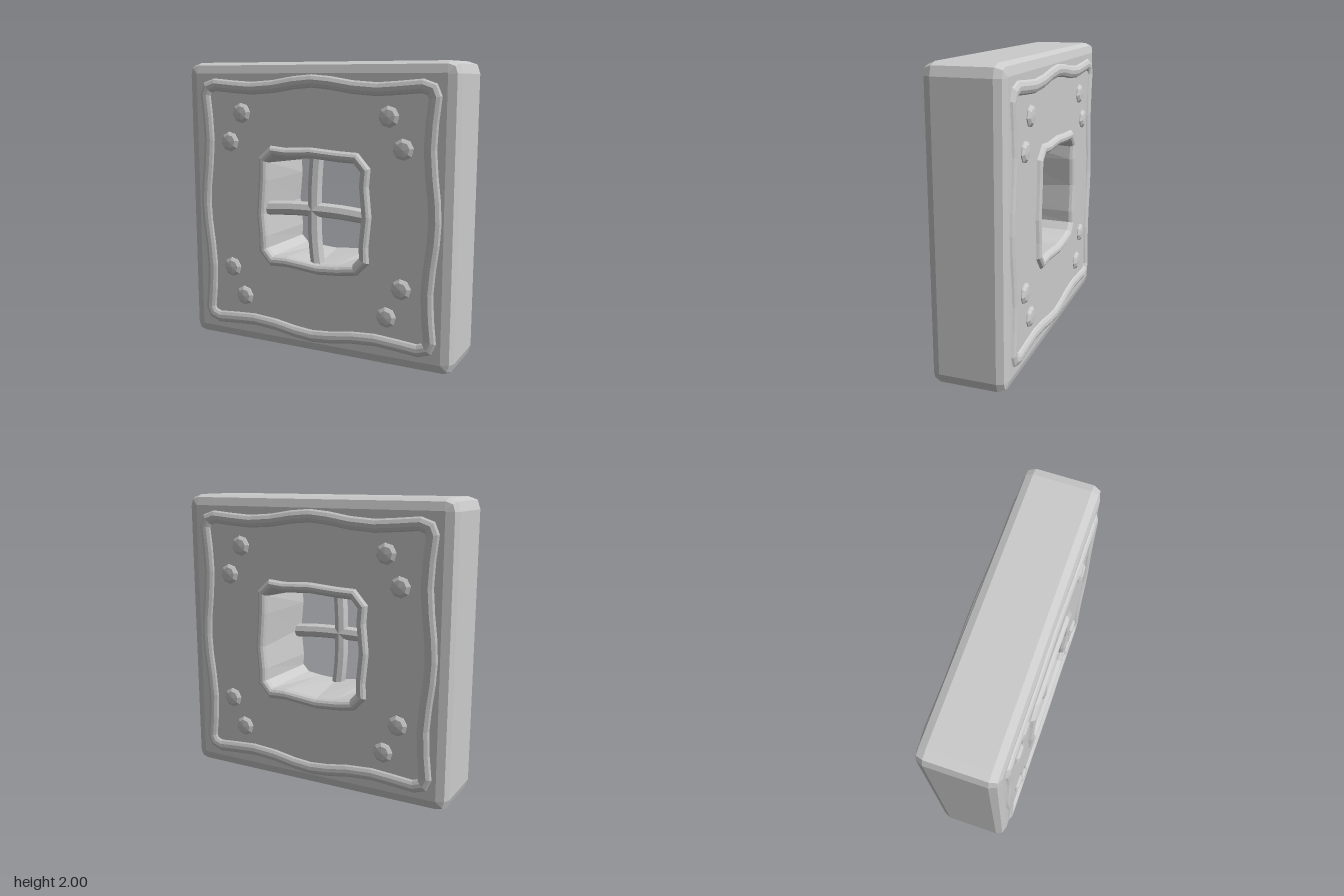
import * as THREE from 'three';

const material = new THREE.MeshStandardMaterial({ color: 0xcccccc, flatShading: true });

function add(parent, name, geometry) {
  const flat = geometry.index ? geometry.toNonIndexed() : geometry;
  flat.computeVertexNormals();
  const mesh = new THREE.Mesh(flat, material);
  mesh.name = name;
  parent.add(mesh);
  return mesh;
}

// Skin over closed rings of equal point count, given as { pts: [[x, y]...], z }
function loft(rings) {
  const n = rings[0].pts.length, pos = [], idx = [];
  for (const { pts, z } of rings) for (const [x, y] of pts) pos.push(x, y, z);
  for (let i = 0; i < rings.length - 1; i++) {
    for (let j = 0; j < n; j++) {
      const k = (j + 1) % n;
      const a = i * n + j, b = i * n + k, c = b + n, d = a + n;
      idx.push(a, b, c, a, c, d);
    }
  }
  const g = new THREE.BufferGeometry();
  g.setAttribute('position', new THREE.Float32BufferAttribute(pos, 3));
  g.setIndex(idx);
  return g;
}

// Move a counter-clockwise outline inwards with mitred corners
function inset(pts, d) {
  const n = pts.length;
  return pts.map((p, i) => {
    const a = pts[(i + n - 1) % n], b = pts[(i + 1) % n];
    const u = new THREE.Vector2(p[0] - a[0], p[1] - a[1]).normalize();
    const v = new THREE.Vector2(b[0] - p[0], b[1] - p[1]).normalize();
    const m = new THREE.Vector2(-u.y - v.y, u.x + v.x).normalize();
    const s = d / (m.x * -u.y + m.y * u.x);
    return [p[0] + m.x * s, p[1] + m.y * s];
  });
}

// Raised moulding: profile of [inset, z] swept around an outline
const moulding = (outline, profile) =>
  loft(profile.map(([d, z]) => ({ pts: inset(outline, d), z })));

// Square ring with bevelled corners, counter-clockwise
function squareRing(side, corner, z) {
  const s = 0.92;
  const q = [[side, s], [corner, corner], [s, side]];
  const pts = [];
  for (let k = 0; k < 4; k++) {
    for (const [x, y] of q) {
      pts.push([[x, y], [-y, x], [-x, -y], [y, -x]][k]);
    }
  }
  return { pts, z };
}

// Uneven window outline, counter-clockwise from the top middle
const windowOutline = [
  [0, 0.44], [-0.2, 0.43], [-0.32, 0.44],
  [-0.415, 0.355], [-0.42, 0.2], [-0.44, -0.04], [-0.425, -0.2], [-0.425, -0.31],
  [-0.335, -0.41], [-0.2, -0.405], [0.05, -0.43], [0.2, -0.42], [0.34, -0.4],
  [0.425, -0.31], [0.42, -0.2], [0.44, 0], [0.42, 0.2], [0.43, 0.32],
  [0.34, 0.42], [0.2, 0.425],
];

// Wavy border: one quarter mirrored to all four
const quarter = [
  [0.913, 0], [0.905, 0.14], [0.885, 0.3], [0.872, 0.46], [0.88, 0.62], [0.898, 0.785],
  [0.865, 0.862], [0.775, 0.893], [0.62, 0.88], [0.47, 0.87], [0.3, 0.882], [0.14, 0.908], [0, 0.92],
];
const half = [...quarter, ...quarter.slice(0, -1).reverse().map(([x, y]) => [-x, y])];
const borderOutline = [...half, ...half.slice(1, -1).reverse().map(([x, y]) => [x, -y])];

// Face plate, border, window rim and rivets of one side
function createFace() {
  const face = new THREE.Group();

  const toVec = ([x, y]) => new THREE.Vector2(x, y);
  const plate = new THREE.Shape(squareRing(0.925, 0.923, 0).pts.map(toVec));
  plate.holes.push(new THREE.Path(inset(windowOutline, 0.04).map(toVec)));
  add(face, 'facePlate', new THREE.ShapeGeometry(plate).translate(0, 0, 0.25));

  add(face, 'wavyBorder', moulding(borderOutline,
    [[0, 0.248], [0.012, 0.262], [0.035, 0.272], [0.06, 0.27], [0.08, 0.26], [0.09, 0.248]]));
  add(face, 'windowRim', moulding(windowOutline,
    [[0, 0.248], [0.014, 0.268], [0.03, 0.277], [0.05, 0.275], [0.065, 0.265], [0.075, 0.245]]));

  const profile = [[0.07, 0.24], [0.07, 0.256], [0.048, 0.271], [0, 0.275]];
  const rivet = new THREE.LatheGeometry(profile.map(([r, y]) => new THREE.Vector2(r, y)), 8)
    .rotateX(Math.PI / 2).rotateZ(0.12);
  for (const sx of [-1, 1]) {
    for (const sy of [-1, 1]) {
      for (const [x, y] of [[0.55, 0.655], [0.65, 0.453]]) {
        add(face, 'rivet', rivet).position.set(sx * x, sy * y, 0);
      }
    }
  }
  return face;
}

export function createModel() {
  const model = new THREE.Group();
  model.name = 'windowBlock';
  const body = new THREE.Group();
  body.name = 'body';
  body.position.y = 1;
  model.add(body);

  // Bevelled outer block
  const steps = [[0.925, 0.923, 0.25], [0.98, 0.965, 0.235], [1, 0.98, 0.19]];
  add(body, 'block', loft([
    ...steps.map(([a, c, z]) => squareRing(a, c, -z)),
    ...steps.slice().reverse().map(([a, c, z]) => squareRing(a, c, z)),
  ]));

  // Tunnel from the front window to the mirrored back window
  const opening = inset(windowOutline, 0.075);
  const n = opening.length;
  const backOpening = opening.map((_, j) => {
    const [x, y] = opening[(n - j) % n];
    return [-x, y];
  });
  add(body, 'tunnel', loft([{ pts: opening, z: 0.246 }, { pts: backOpening, z: -0.246 }]));

  // Both decorated sides
  const front = createFace();
  front.name = 'frontFace';
  const back = createFace();
  back.name = 'backFace';
  back.rotation.y = Math.PI;
  body.add(front, back);

  // Slightly bowed cross bars just behind the front opening
  const bar = (points) => new THREE.TubeGeometry(
    new THREE.CatmullRomCurve3(points.map(([x, y]) => new THREE.Vector3(x, y, 0.2))), 8, 0.05, 8);
  add(body, 'horizontalBar', bar([[-0.39, -0.008], [-0.2, 0.008], [0, 0.012], [0.2, 0.008], [0.39, -0.008]]));
  add(body, 'verticalBar', bar([[0.02, -0.38], [0, -0.2], [-0.005, 0], [0, 0.2], [0.015, 0.39]]));

  return model;
}
